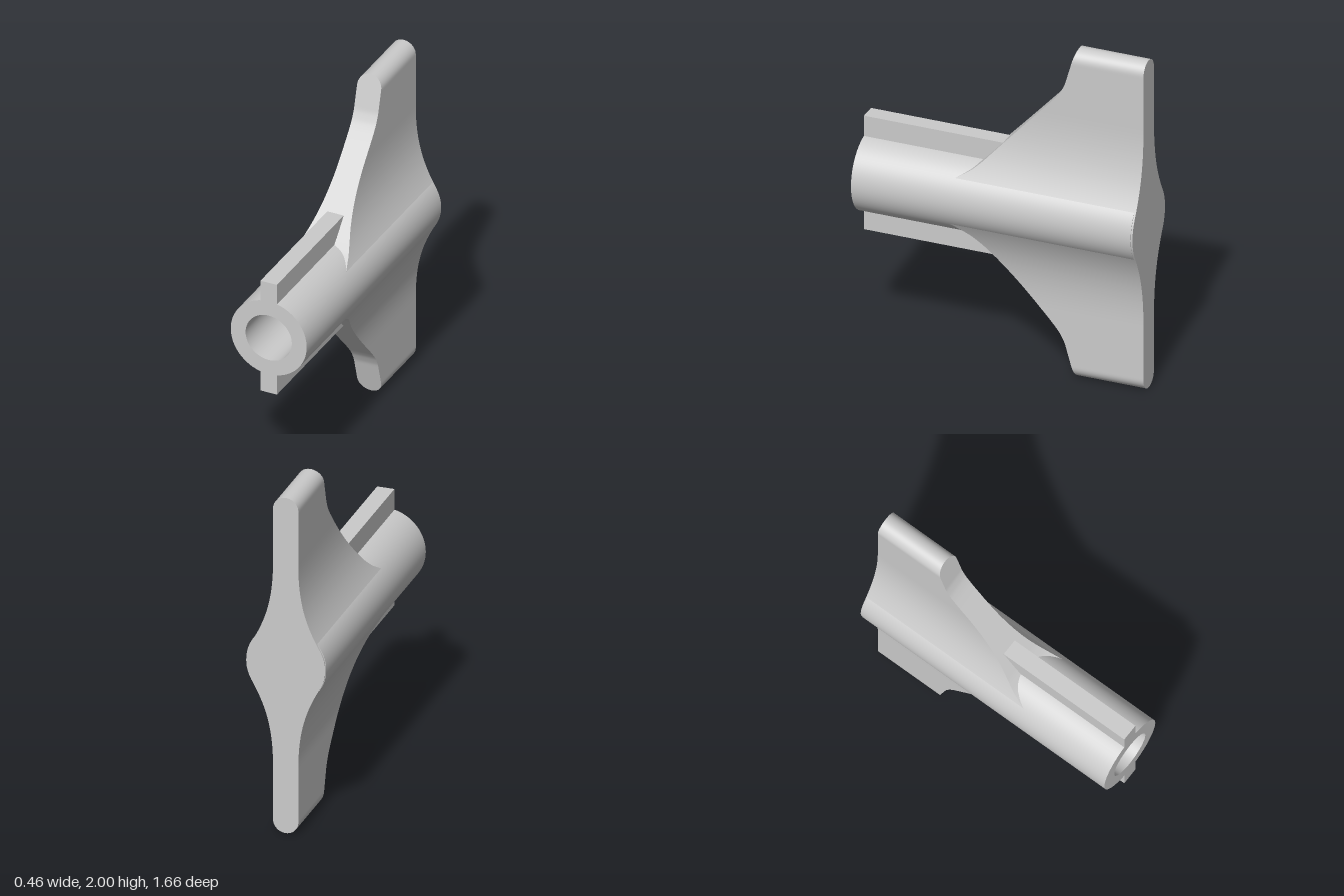
import * as THREE from 'three';
import { toCreasedNormals } from 'three/addons/utils/BufferGeometryUtils.js';

const material = new THREE.MeshStandardMaterial({ color: 0xcccccc });
const BACK = -0.83, FRONT = 0.83, R = 0.227, TIP = 0.073;

// Half thickness of the grip at distance d from the axis: round hub, concave flare, rounded tip
const flare = new THREE.CubicBezierCurve(
  new THREE.Vector2(0.113, 0.197), new THREE.Vector2(0.25, 0.118),
  new THREE.Vector2(0.38, TIP), new THREE.Vector2(0.6, TIP)).getPoints(24);

function table(points, d) {
  for (let i = 1; i < points.length; i++) {
    const a = points[i - 1], b = points[i];
    if (d <= b.x) return THREE.MathUtils.mapLinear(d, a.x, b.x, a.y, b.y);
  }
  return points[points.length - 1].y;
}

function halfWidth(d) {
  if (d < 0.113) return Math.sqrt(R * R - d * d);
  if (d > 1 - TIP) return Math.sqrt(Math.max(0, TIP * TIP - (d - 1 + TIP) ** 2));
  return table(flare, d);
}

// Front edge of the grip, seen from the side
const frontEdge = [[0, 0.34], [0.12, 0.29], [0.165, 0.21], [0.2, 0.155], [0.25, 0.1], [0.36, 0],
  [0.66, -0.275], [0.7, -0.31], [0.74, -0.34], [0.79, -0.365], [1, -0.425]]
  .map(([x, y]) => new THREE.Vector2(x, y));

// Grip: rectangles stacked along y, joined strip by strip
function gripGeometry() {
  const half = [];
  for (let i = 0; i <= 6; i++) half.push(0.113 * i / 6);
  for (let d = 0.135; d < 0.92; d += 0.015) half.push(d);
  for (let i = 0; i <= 10; i++) half.push(1 - TIP + TIP * Math.sin(i / 10 * Math.PI / 2));
  const levels = [...half.slice(1).reverse().map(d => -d), ...half];
  const pos = [];
  const quad = (a, b, c, d) => pos.push(...a, ...b, ...c, ...a, ...c, ...d);
  const ring = s => {
    const d = Math.abs(s), w = halfWidth(d), f = table(frontEdge, d), y = 1 + s;
    return [[-w, y, f], [w, y, f], [w, y, BACK], [-w, y, BACK]];
  };
  for (let i = 1; i < levels.length; i++) {
    const a = ring(levels[i - 1]), b = ring(levels[i]);
    const nearBore = Math.min(Math.abs(levels[i]), Math.abs(levels[i - 1])) < 0.145;
    for (let k = 0; k < 4; k++) {
      if (k === 0 && nearBore) continue; // the bore stays open
      const n = (k + 1) % 4;
      quad(a[k], a[n], b[n], b[k]);
    }
  }
  const geo = new THREE.BufferGeometry();
  geo.setAttribute('position', new THREE.Float32BufferAttribute(pos, 3));
  return toCreasedNormals(geo, 0.5);
}

export function createModel() {
  const group = new THREE.Group();
  const add = (name, geo) => {
    const mesh = new THREE.Mesh(geo, material);
    mesh.name = name;
    group.add(mesh);
    return mesh;
  };

  add('grip', gripGeometry());

  // Hollow shaft with a blind bore
  const profile = [[0, -0.82], [0.23, -0.82], [0.23, FRONT], [0.14, FRONT], [0.14, -0.6], [0, -0.6]]
    .map(([x, y]) => new THREE.Vector2(x, y));
  const shaft = new THREE.LatheGeometry(profile, 72).rotateX(Math.PI / 2);
  add('shaft', toCreasedNormals(shaft, 0.5)).position.y = 1.002;

  // Keys above and below the shaft
  for (const [name, side] of [['upperKey', 1], ['lowerKey', -1]]) {
    const key = add(name, new THREE.BoxGeometry(0.1, 0.15, FRONT));
    key.position.set(0, 1.003 + side * 0.272, FRONT / 2);
  }
  return group;
}
